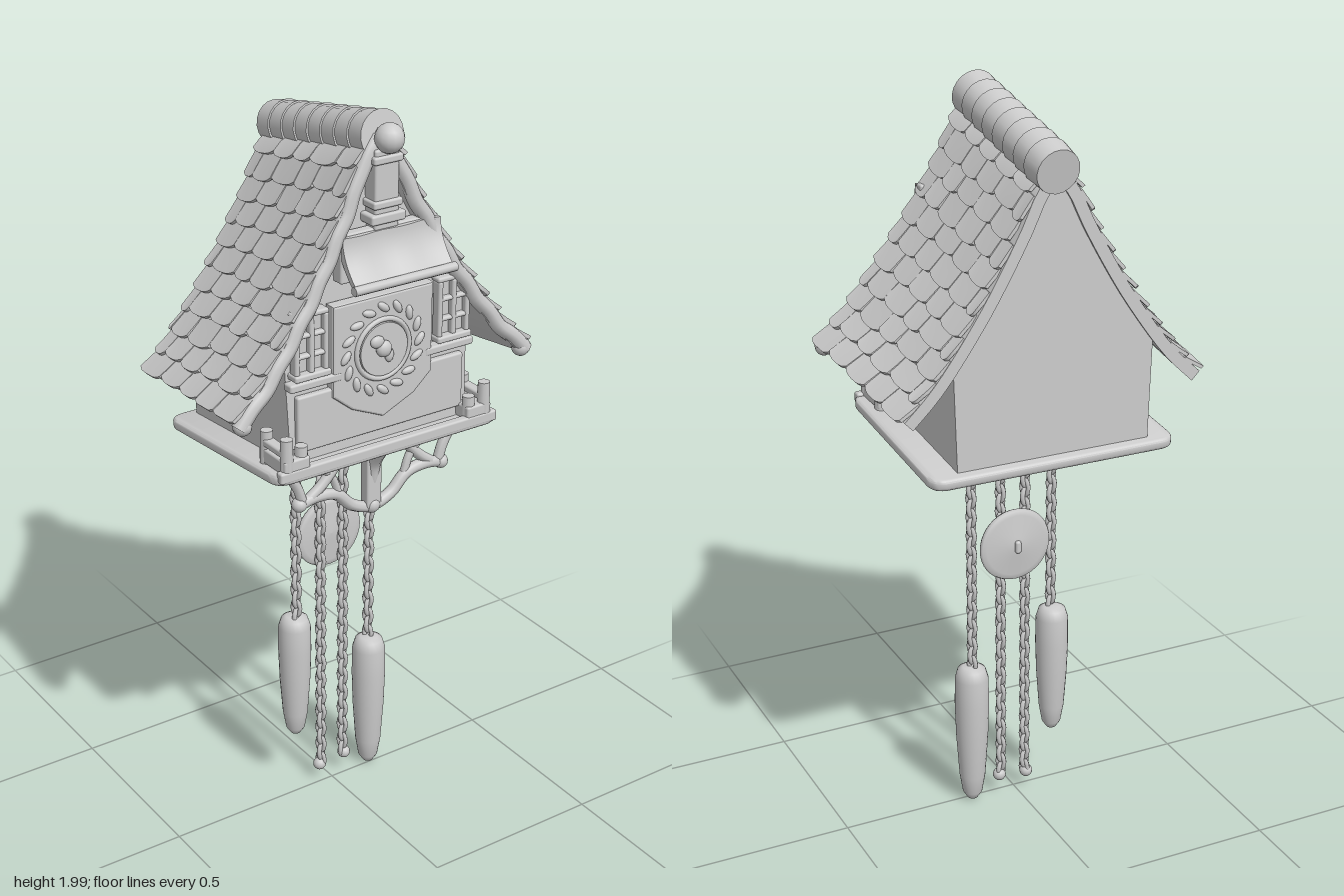
import * as THREE from 'three';
import { mergeGeometries, toCreasedNormals } from 'three/addons/utils/BufferGeometryUtils.js';
import { RoundedBoxGeometry } from 'three/addons/geometries/RoundedBoxGeometry.js';

const CX = 0.01;
const mat = new THREE.MeshStandardMaterial({ color: 0xcccccc, side: THREE.DoubleSide });
const V = (x, y, z = 0) => new THREE.Vector3(x, y, z);
let seed = 7;
const rnd = () => (seed = (seed * 16807) % 2147483647) / 2147483647;

// half outline of the roof, ridge to eave
const profile = new THREE.CatmullRomCurve3([V(0, 1.955), V(0.06, 1.9), V(0.11, 1.8), V(0.17, 1.69),
  V(0.24, 1.575), V(0.36, 1.41), V(0.45, 1.32)]);
// the house drops towards the back, more so at the ridge
const drop = (y, z) => (0.08 + 0.12 * THREE.MathUtils.clamp((y - 1.15) / 0.8, 0, 1)) * (z - 0.2);
const frontZ = y => 0.205 - 0.05 * (y - 1.15);

function deform(geo, fn) {
  const p = geo.attributes.position, v = V(0, 0);
  for (let i = 0; i < p.count; i++) {
    v.fromBufferAttribute(p, i);
    fn(v);
    p.setXYZ(i, v.x, v.y, v.z);
  }
  geo.computeVertexNormals();
  return geo;
}
const crease = g => toCreasedNormals(g, 0.7);
const merge = list => mergeGeometries(list.map(g => (g.index ? g.toNonIndexed() : g)));
const box = (w, h, d, x, y, z, r = 0.006) => new RoundedBoxGeometry(w, h, d, 2, r).translate(x, y, z);
const tube = (pts, r, n = 24) => new THREE.TubeGeometry(new THREE.CatmullRomCurve3(pts), n, r, 8);
const ball = (r, x, y, z, sx = 1, sy = 1, sz = 1) => new THREE.SphereGeometry(r, 14, 10).scale(sx, sy, sz).translate(x, y, z);

// point on the curved roof: t ridge to eave, v front to back, h height above the surface
function roofPoint(side, t, v, h) {
  t = THREE.MathUtils.clamp(t, 0, 1);
  const p = profile.getPointAt(t), d = profile.getTangentAt(t);
  const z = THREE.MathUtils.lerp(0.185 + 0.055 * t, -0.265, v);
  const y = p.y + d.x * h;
  return V(CX + side * Math.max(0, p.x - d.y * h) * (1 + 0.13 * (z - 0.24)), y + drop(y, z), z);
}
// a box bent onto the roof; lift raises its lower edge, round trims its lower corners
function roofPatch(side, t0, t1, v0, v1, h0, h1, segs, lift = 0, round = 0) {
  return crease(deform(new THREE.BoxGeometry(1, 1, 1, ...segs), q => {
    const a = 0.5 + side * q.x, s = Math.abs(q.z * 2);
    const t = t0 + (t1 - t0) * a - round * a * s ** 3;
    q.copy(roofPoint(side, t, v0 + (v1 - v0) * (0.5 - q.z), (q.y < 0 ? h0 : h1) + lift * a));
  }));
}

function chain(top, bottom) {
  const links = [], n = Math.round((top - bottom) / 0.027);
  for (let i = 0; i <= n; i++) {
    links.push(new THREE.TorusGeometry(0.0115, 0.0065, 6, 10).scale(1, 1.7, 1)
      .rotateY(i * Math.PI / 2 + 0.5).translate(0, top + (bottom - top) * i / n, 0));
  }
  return merge(links);
}

export function createModel() {
  const group = new THREE.Group();
  const add = (name, geo, x = 0, y = 0, z = 0) => {
    const m = new THREE.Mesh(geo, mat);
    m.name = name;
    m.position.set(x, y, z);
    group.add(m);
    return m;
  };

  // house body with gables
  const half = [[0.265, 1.13], [0.275, 1.48]];
  for (const t of [0.62, 0.5, 0.36, 0.22, 0.1]) {
    const p = profile.getPointAt(t), d = profile.getTangentAt(t);
    if (p.x + d.y * 0.03 < 0.27) half.push([p.x + d.y * 0.03, p.y - d.x * 0.03]);
  }
  const outline = [...half, [0, 1.92], ...half.slice().reverse().map(([x, y]) => [-x, y])];
  const shell = new THREE.ExtrudeGeometry(new THREE.Shape(outline.map(([x, y]) => new THREE.Vector2(x, y))),
    { depth: 1, bevelEnabled: false });
  add('houseBody', deform(shell, q => {
    q.z = q.z > 0.5 ? frontZ(q.y) - 0.005 : -0.255;
    q.y += drop(q.y, q.z);
    q.x += CX;
  }));

  // roof boards, shingles and barge edges
  const rows = 11, cols = 5;
  for (const side of [-1, 1]) {
    const sideName = side > 0 ? 'left' : 'right';
    add(sideName + 'RoofBoard', roofPatch(side, 0, 0.985, 0, 1, -0.042, -0.008, [20, 1, 8]));
    const tiles = [];
    for (let r = 0; r < rows; r++) {
      const t0 = 0.06 + 0.94 * r / rows, t1 = t0 + 0.94 / rows;
      const cuts = [0];
      for (let c = 0; c < cols; c++) cuts.push((c + (r % 2 ? 0.5 : 0.95) + (rnd() - 0.5) * 0.25) / cols);
      cuts[cuts.length - 1] = Math.min(1, cuts[cols]);
      if (cuts[cols] < 0.97) cuts.push(1);
      for (let c = 0; c + 1 < cuts.length; c++) {
        tiles.push(roofPatch(side, t0 - 0.01, t1 + (rnd() - 0.4) * 0.014, cuts[c] + 0.003, cuts[c + 1] - 0.003,
          -0.014, -0.004, [2, 1, 6], 0.01 + rnd() * 0.005, 0.015));
      }
    }
    add(sideName + 'Shingles', merge(tiles));
    const edge = [];
    for (let i = 0; i <= 14; i++) edge.push(roofPoint(side, i / 14, 0.015, -0.026 + (i % 2) * 0.005));
    add(sideName + 'BargeEdge', tube(edge, 0.021, 56));
    add(sideName + 'BargeEnd', ball(0.024, ...roofPoint(side, 0.985, 0.02, -0.03).toArray()));
  }

  // ridge cap from overlapping round tiles
  const caps = [];
  for (let i = 0; i < 8; i++) {
    const z = 0.153 - i * 0.058;
    caps.push(new THREE.CylinderGeometry(0.062, 0.057, 0.062, 20).rotateX(Math.PI / 2 - 0.19)
      .translate(0.02, 1.936 + 0.195 * (z - 0.18), z));
  }
  add('ridgeCap', crease(merge(caps)));

  // gable ornament
  add('finialBall', ball(0.037, 0.022, 1.935, 0.21));
  add('gablePost', merge([box(0.07, 0.2, 0.05, 0.018, 1.81, 0.185), box(0.1, 0.025, 0.06, 0.018, 1.74, 0.19),
    box(0.085, 0.02, 0.055, 0.018, 1.775, 0.19), box(0.085, 0.02, 0.055, 0.018, 1.885, 0.19)]));

  // small flared canopy over the dial
  add('canopy', crease(deform(new THREE.BoxGeometry(0.285, 0.115, 0.02, 12, 10, 1), q => {
    const s = 0.5 - q.y / 0.115;
    q.z += 0.205 + 0.065 * s * s + 0.003 * Math.sin(q.x * 50);
    q.x += 0.03;
    q.y += 1.655;
  })));
  add('canopyRoll', new THREE.CylinderGeometry(0.012, 0.012, 0.3, 10).rotateZ(Math.PI / 2).translate(0.03, 1.6, 0.272));
  add('canopyBeam', box(0.31, 0.025, 0.03, 0.02, 1.705, 0.19));
  add('canopySupport', box(0.27, 0.1, 0.04, 0.02, 1.645, 0.19));

  // dial board, ring, wreath and hands
  const board = new THREE.Shape([[-0.135, 1.54], [-0.135, 1.31], [-0.08, 1.265], [0.01, 1.225], [0.1, 1.265],
    [0.15, 1.31], [0.15, 1.54]].map(([x, y]) => new THREE.Vector2(x, y)));
  add('dialBoard', new THREE.ExtrudeGeometry(board, { depth: 0.025, bevelSize: 0.006, bevelThickness: 0.006, bevelSegments: 2 }), 0, 0, 0.185);
  const dial = [new THREE.TorusGeometry(0.078, 0.007, 8, 36), new THREE.CylinderGeometry(0.07, 0.07, 0.012, 32).rotateX(Math.PI / 2)];
  for (let i = 0; i < 16; i++) {
    dial.push(ball(0.02, 0, 0, 0, 1, 0.5, 0.45).rotateZ(0.9).translate(0.11, 0, 0).rotateZ(i * Math.PI / 8));
  }
  add('dialRing', merge(dial), 0.005, 1.405, 0.217);
  add('dialHands', merge([ball(0.022, 0, 0, 0, 1, 1, 0.7), ball(0.02, -0.02, 0.022, 0, 1, 0.8, 0.5),
    ball(0.016, 0.016, -0.02, 0, 0.8, 1.2, 0.5)]), 0, 1.41, 0.228);

  // lower front board with a ledge
  add('lowerBoard', box(0.5, 0.15, 0.02, CX, 1.255, 0.2));
  add('ledge', merge([-1, 1].map(s => box(0.15, 0.022, 0.035, CX + s * 0.2, 1.36, 0.2).rotateZ(0))));

  // shuttered windows
  for (const s of [-1, 1]) {
    const parts = [box(0.085, 0.15, 0.02, 0, 0, -0.008), box(0.105, 0.018, 0.045, 0, -0.08, 0.002), box(0.1, 0.014, 0.035, 0, 0.078, 0)];
    for (const x of [-0.042, 0, 0.042]) parts.push(box(0.014, 0.15, 0.03, x, 0, 0.004));
    for (const y of [-0.028, 0.025]) parts.push(box(0.085, 0.012, 0.028, 0, y, 0.003));
    add(s > 0 ? 'leftWindow' : 'rightWindow', merge(parts), CX + s * 0.212, 1.465, 0.2);
  }

  // base platform with rounded corners, tilted with the house
  const sh = new THREE.Shape(), w = 0.33, h = 0.258, r = 0.035;
  sh.moveTo(-w + r, -h).lineTo(w - r, -h).quadraticCurveTo(w, -h, w, -h + r).lineTo(w, h - r).quadraticCurveTo(w, h, w - r, h)
    .lineTo(-w + r, h).quadraticCurveTo(-w, h, -w, h - r).lineTo(-w, -h + r).quadraticCurveTo(-w, -h, -w + r, -h);
  const slab = new THREE.ExtrudeGeometry(sh, { depth: 0.014, bevelSize: 0.01, bevelThickness: 0.008, bevelSegments: 3, curveSegments: 8 });
  add('platform', crease(slab.rotateX(-Math.PI / 2 - 0.085)), 0.013, 1.112, -0.015);
  add('platformRail', box(0.66, 0.03, 0.025, 0.013, 1.148, 0.24));

  // posts and troughs on the front corners
  for (const s of [-1, 1]) {
    const post = (x, z, top) => new THREE.CylinderGeometry(0.016, 0.018, top - 1.14, 10).translate(s * x, (top + 1.14) / 2, z);
    add(s > 0 ? 'leftTrough' : 'rightTrough', merge([box(0.075, 0.04, 0.12, s * 0.277, 1.17, 0.19), post(0.3, 0.235, 1.245),
      post(0.3, 0.145, 1.235), post(0.255, 0.23, 1.215), box(0.03, 0.02, 0.1, s * 0.3, 1.205, 0.19)]), CX);
  }

  // carved bracket under the platform
  const z = 0.165;
  const at = pts => pts.map(([x, y]) => V(CX + x, y, z));
  const bracket = [tube(at([[-0.225, 1.01], [-0.17, 1.02], [-0.11, 1.01], [-0.06, 0.965], [0, 0.945],
    [0.06, 0.965], [0.11, 1.01], [0.17, 1.02], [0.225, 1.01]]), 0.016, 48)];
  for (const s of [-1, 1]) {
    bracket.push(tube(at([[s * 0.21, 1.015], [s * 0.225, 1.06], [s * 0.255, 1.11]]), 0.014, 10),
      tube(at([[s * 0.19, 1.02], [s * 0.15, 1.05], [s * 0.09, 1.115]]), 0.014, 10),
      tube(at([[s * 0.1, 1.005], [s * 0.12, 1.06], [s * 0.17, 1.115]]), 0.011, 10),
      ball(0.02, CX + s * 0.22, 1.012, z));
  }
  bracket.push(box(0.045, 0.17, 0.034, CX, 1.03, z), tube([V(CX, 1.02, z), V(CX, 1.07, 0.175), V(CX, 1.125, 0.21)], 0.018, 10),
    ball(0.024, CX, 0.95, z));
  add('bracket', merge(bracket));

  // pendulum disc
  const disc = [[0, -0.02], [0.03, -0.017], [0.085, -0.008], [0.098, -0.008], [0.102, 0], [0.098, 0.008],
    [0.085, 0.008], [0.03, 0.014], [0, 0.016]].map(([x, y]) => new THREE.Vector2(x, y));
  const bob = new THREE.LatheGeometry(disc, 40).rotateX(Math.PI / 2);
  add('pendulumDisc', merge([bob, box(0.016, 0.035, 0.02, 0, 0, -0.018)]), 0.015, 0.775, -0.04);

  // chains and cone-shaped weights
  const zc = -0.015;
  add('rightWeightChain', chain(1.11, 0.56), -0.105, 0, zc);
  add('leftWeightChain', chain(1.11, 0.43), 0.13, 0, zc);
  add('rightLooseChain', chain(1.11, 0.065), -0.027, 0, zc);
  add('leftLooseChain', chain(1.11, 0.075), 0.045, 0, zc);
  add('rightChainEnd', ball(0.018, -0.032, 0.053, zc));
  add('leftChainEnd', ball(0.018, 0.05, 0.062, zc));
  const cone = [[0, 0], [0.014, 0.004], [0.027, 0.025], [0.036, 0.08], [0.044, 0.2], [0.047, 0.3], [0.046, 0.38],
    [0.038, 0.408], [0.024, 0.416], [0, 0.418]].map(([x, y]) => new THREE.Vector2(x, y));
  const weight = new THREE.LatheGeometry(cone, 24);
  add('leftWeight', weight, 0.13, 0.005, -0.01);
  add('rightWeight', weight, -0.105, 0.18, -0.025).scale.set(0.96, 0.91, 0.96);

  return group;
}
